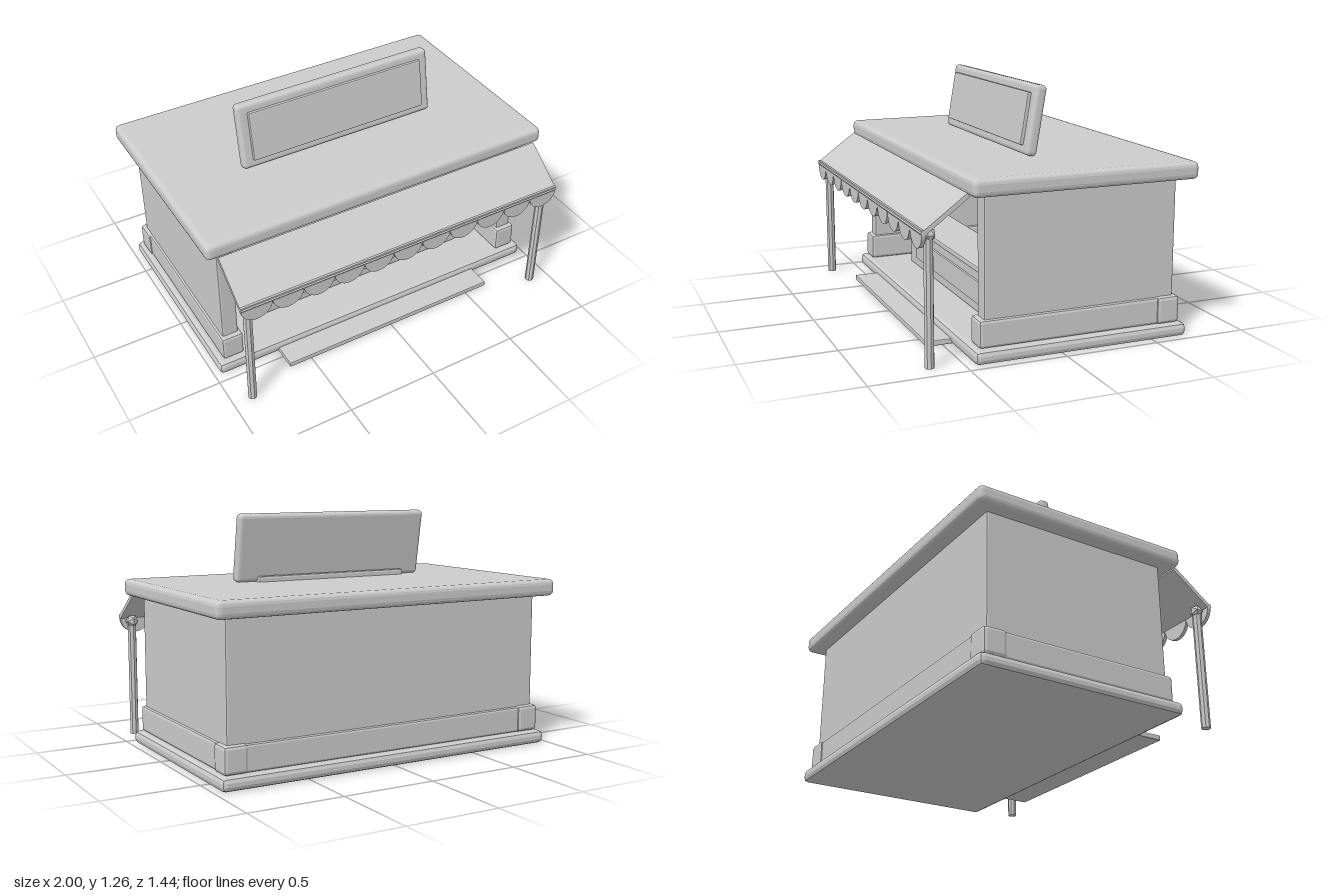
import * as THREE from 'three';
import { RoundedBoxGeometry } from 'three/addons/geometries/RoundedBoxGeometry.js';

const grey = new THREE.MeshStandardMaterial({ color: 0xcccccc });
grey.name = 'plainGrey';

export function createModel() {
  const model = new THREE.Group();
  model.name = 'shopStall';

  // Adds a mesh with flat-faced normals
  function add(name, geometry, x = 0, y = 0, z = 0, parent = model) {
    const g = geometry.index ? geometry.toNonIndexed() : geometry;
    g.computeVertexNormals();
    const mesh = new THREE.Mesh(g, grey);
    mesh.name = name;
    mesh.position.set(x, y, z);
    parent.add(mesh);
    return mesh;
  }
  // Bevelled box given by its minimum and maximum on each axis
  function block(name, [x0, x1], [y0, y1], [z0, z1], bevel = 0.01, parent = model, segments = 1) {
    const g = new RoundedBoxGeometry(x1 - x0, y1 - y0, z1 - z0, segments, bevel);
    return add(name, g, (x0 + x1) / 2, (y0 + y1) / 2, (z0 + z1) / 2, parent);
  }

  // Base, step and roof
  block('base', [-0.97, 0.97], [0, 0.07], [-0.69, 0.46], 0.025);
  block('frontStep', [-0.63, 0.63], [0.003, 0.032], [0.44, 0.59], 0.006);
  block('roof', [-1, 1], [0.815, 0.905], [-0.715, 0.483], 0.028, model, 2);

  // Walls, open at the front
  block('backWall', [-0.92, 0.92], [0.06, 0.83], [-0.63, -0.53], 0.01);
  block('backSkirting', [-0.86, 0.86], [0.07, 0.208], [-0.648, -0.515], 0.012);
  for (const s of [-1, 1]) {
    const span = (a, b) => (s > 0 ? [a, b] : [-b, -a]);
    block('sideWall', span(0.83, 0.92), [0.06, 0.83], [-0.63, 0.4], 0.01);
    block('sideSkirting', span(0.815, 0.935), [0.07, 0.21], [-0.58, 0.428], 0.015);
    block('cornerBlock', span(0.815, 0.945), [0.07, 0.212], [-0.658, -0.532], 0.018);
    // Awning posts
    add('awningPost', new THREE.CylinderGeometry(0.024, 0.024, 0.635, 8), s * 0.89, 0.3175, 0.665);
    add('postCap', new THREE.IcosahedronGeometry(0.036, 0), s * 0.89, 0.645, 0.662);
  }

  // Counter
  block('counterBody', [-0.67, 0.67], [0.07, 0.31], [0, 0.23], 0.01);
  for (const x of [-0.675, 0.675]) {
    block('counterEnd', [x - 0.017, x + 0.017], [0.08, 0.29], [0.01, 0.215], 0.008);
  }
  block('counterTop', [-0.71, 0.71], [0.303, 0.335], [-0.02, 0.255], 0.01);
  block('counterPanel', [-0.54, 0.54], [0.125, 0.247], [0.22, 0.242], 0.004);

  // Sloping awning and its scalloped edge
  const slope = Math.atan2(0.165, 0.225);
  const awning = add('awning', new THREE.BoxGeometry(1.89, 0.022, 0.285), 0, 0.742, 0.6);
  awning.rotation.x = slope;
  const count = 11, half = 0.945, r = half / count;
  const edge = new THREE.Shape();
  edge.moveTo(-half, 0.015);
  edge.lineTo(-half, 0);
  for (let i = 0; i < count; i++) {
    edge.absarc(-half + r * (2 * i + 1), 0, r, Math.PI, 2 * Math.PI, false);
  }
  edge.lineTo(half, 0.015);
  add('awningScallops',
    new THREE.ExtrudeGeometry(edge, { depth: 0.02, bevelEnabled: false, curveSegments: 8 }),
    0, 0.665, 0.695);

  // Roof sign leaning back
  const sign = new THREE.Group();
  sign.name = 'roofSign';
  sign.position.set(0, 1.085, -0.03);
  sign.rotation.x = -0.165;
  model.add(sign);
  block('signBoard', [-0.57, 0.57], [-0.18, 0.18], [-0.03, 0.03], 0.02, sign, 2);
  block('signPanel', [-0.515, 0.515], [-0.135, 0.135], [0.02, 0.048], 0.006, sign);
  block('signFoot', [-0.45, 0.45], [0.89, 0.935], [-0.06, -0.015], 0.01);

  // Display panels on the back wall
  for (const x of [-0.6, -0.2, 0.2, 0.6]) {
    block('displayPanel', [x - 0.157, x + 0.157], [0.372, 0.687], [-0.535, -0.51], 0.006);
  }

  // Pair of kettle weights
  for (const x of [-0.665, -0.54]) {
    block('weightFoot', [x - 0.043, x + 0.043], [0.38, 0.397], [-0.515, -0.43], 0.006);
    block('weightNeck', [x - 0.025, x + 0.025], [0.395, 0.42], [-0.5, -0.45], 0.005);
    block('weightBody', [x - 0.042, x + 0.042], [0.413, 0.483], [-0.515, -0.43], 0.02);
  }

  // Backpack
  block('backpackBody', [-0.285, -0.118], [0.405, 0.58], [-0.515, -0.44], 0.03, model, 2);
  for (const x of [-0.245, -0.16]) {
    block('backpackFoot', [x - 0.025, x + 0.025], [0.368, 0.41], [-0.505, -0.455], 0.008);
  }

  // Barbell on a small stand
  const bar = add('barbellBar', new THREE.CylinderGeometry(0.01, 0.01, 0.24, 8), 0.2, 0.452, -0.46);
  bar.rotation.z = Math.PI / 2;
  for (const s of [-1, 1]) {
    const plate = add('barbellPlate', new THREE.CylinderGeometry(0.063, 0.063, 0.03, 12),
      0.2 + s * 0.097, 0.453, -0.46);
    plate.rotation.z = Math.PI / 2;
    block('barbellStand', [0.19 + s * 0.05, 0.21 + s * 0.05], [0.38, 0.445], [-0.515, -0.45], 0.004);
  }
  block('barbellShelf', [0.08, 0.32], [0.375, 0.39], [-0.515, -0.43], 0.004);

  // Hanging shirt
  block('shirtBody', [0.535, 0.665], [0.395, 0.565], [-0.515, -0.47], 0.01);
  block('shirtCollar', [0.565, 0.635], [0.56, 0.58], [-0.51, -0.475], 0.006);
  for (const s of [-1, 1]) {
    const sleeve = block('shirtSleeve', [0.562 + s * 0.09, 0.638 + s * 0.09], [0.518, 0.562],
      [-0.51, -0.473], 0.008);
    sleeve.rotation.z = -s * 0.6;
  }
  add('hangerHook', new THREE.CylinderGeometry(0.004, 0.004, 0.06, 6), 0.6, 0.6, -0.492);

  return model;
}
